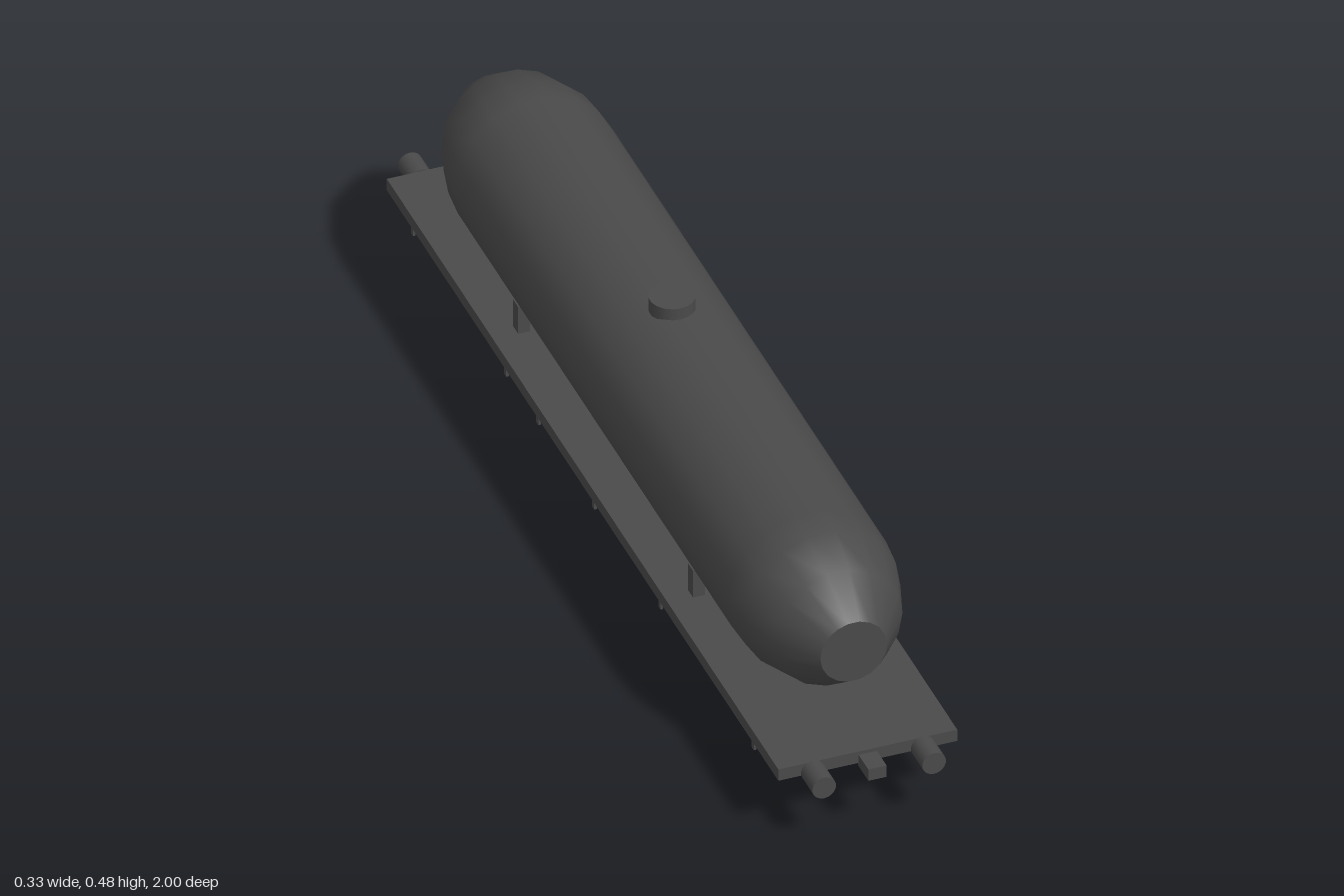
import * as THREE from 'three';

const grey = new THREE.MeshStandardMaterial({ color: 0x4a4a4a });
grey.name = 'darkGrey';

function add(parent, name, geometry, x = 0, y = 0, z = 0) {
  const mesh = new THREE.Mesh(geometry, grey);
  mesh.name = name;
  mesh.position.set(x, y, z);
  parent.add(mesh);
  return mesh;
}

const box = (w, h, d) => new THREE.BoxGeometry(w, h, d);
const rodX = (r, length, sides) => new THREE.CylinderGeometry(r, r, length, sides).rotateZ(Math.PI / 2);
const rodZ = (r, length, sides) => new THREE.CylinderGeometry(r, r, length, sides).rotateX(Math.PI / 2);

// Eighteen-sided barrel with rounded shoulders and flat end discs
function buildTank() {
  const tank = new THREE.Group();
  tank.name = 'tank';
  const half = [[0.062, 0.877], [0.12, 0.8], [0.147, 0.72], [0.153, 0.66]];
  const profile = [
    ...half.map(([r, z]) => new THREE.Vector2(r, -z)),
    ...half.slice().reverse().map(([r, z]) => new THREE.Vector2(r, z)),
  ];
  const barrel = new THREE.LatheGeometry(profile, 18, Math.PI / 2).rotateX(Math.PI / 2);
  add(tank, 'barrel', barrel, 0, 0.306, 0);
  for (const s of [1, -1]) {
    const disc = new THREE.CircleGeometry(0.062, 18);
    if (s < 0) disc.rotateY(Math.PI);
    add(tank, 'endDisc', disc, 0, 0.306, s * 0.877);
  }
  add(tank, 'fillerCap', new THREE.CylinderGeometry(0.041, 0.041, 0.04, 18), 0, 0.46, 0);
  return tank;
}

// Four-wheel truck under each end of the deck
function buildBogie(z) {
  const bogie = new THREE.Group();
  bogie.name = 'bogie';
  bogie.position.z = z;
  add(bogie, 'topPlate', box(0.262, 0.028, 0.4), 0, 0.091, 0);
  add(bogie, 'pivot', new THREE.CylinderGeometry(0.016, 0.016, 0.02, 12), 0, 0.112, 0);
  add(bogie, 'bolster', box(0.058, 0.014, 0.06), 0, 0.07, 0);
  add(bogie, 'crossBar', box(0.2, 0.014, 0.03), 0, 0.055, 0);
  for (const s of [1, -1]) {
    add(bogie, 'sideFrame', box(0.014, 0.022, 0.32), s * 0.104, 0.066, 0);
    add(bogie, 'spring', box(0.012, 0.01, 0.03), s * 0.117, 0.072, 0);
    for (const w of [0.147, -0.147]) {
      add(bogie, 'wheel', rodX(0.05, 0.015, 18), s * 0.0845, 0.05, w);
      add(bogie, 'axleBox', box(0.022, 0.038, 0.034), s * 0.106, 0.059, w);
    }
  }
  for (const w of [0.147, -0.147]) add(bogie, 'axle', rodX(0.008, 0.2, 10), 0, 0.053, w);
  return bogie;
}

export function createModel() {
  const model = new THREE.Group();
  model.name = 'tankWagon';
  model.add(buildTank(), buildBogie(0.6), buildBogie(-0.6));

  // Flat deck with small brackets along both edges
  add(model, 'deck', box(0.332, 0.024, 1.89), 0, 0.131, 0);
  for (const s of [1, -1]) {
    for (const z of [0.82, 0.37, 0.05, -0.22, -0.375, -0.825]) {
      add(model, 'edgeBracket', box(0.005, 0.018, 0.01), s * 0.163, 0.113, z);
    }
    // Tank supports
    for (const z of [0.422, -0.422]) {
      add(model, 'tankSupport', box(0.022, 0.057, 0.025), s * 0.117, 0.188, z);
    }
  }

  // Buffers and couplers at both ends
  for (const e of [1, -1]) {
    for (const s of [1, -1]) {
      add(model, 'buffer', rodZ(0.022, 0.055, 18), s * 0.102, 0.124, e * 0.9725);
    }
    add(model, 'coupler', box(0.034, 0.024, 0.05), 0, 0.124, e * 0.967);
  }
  return model;
}
